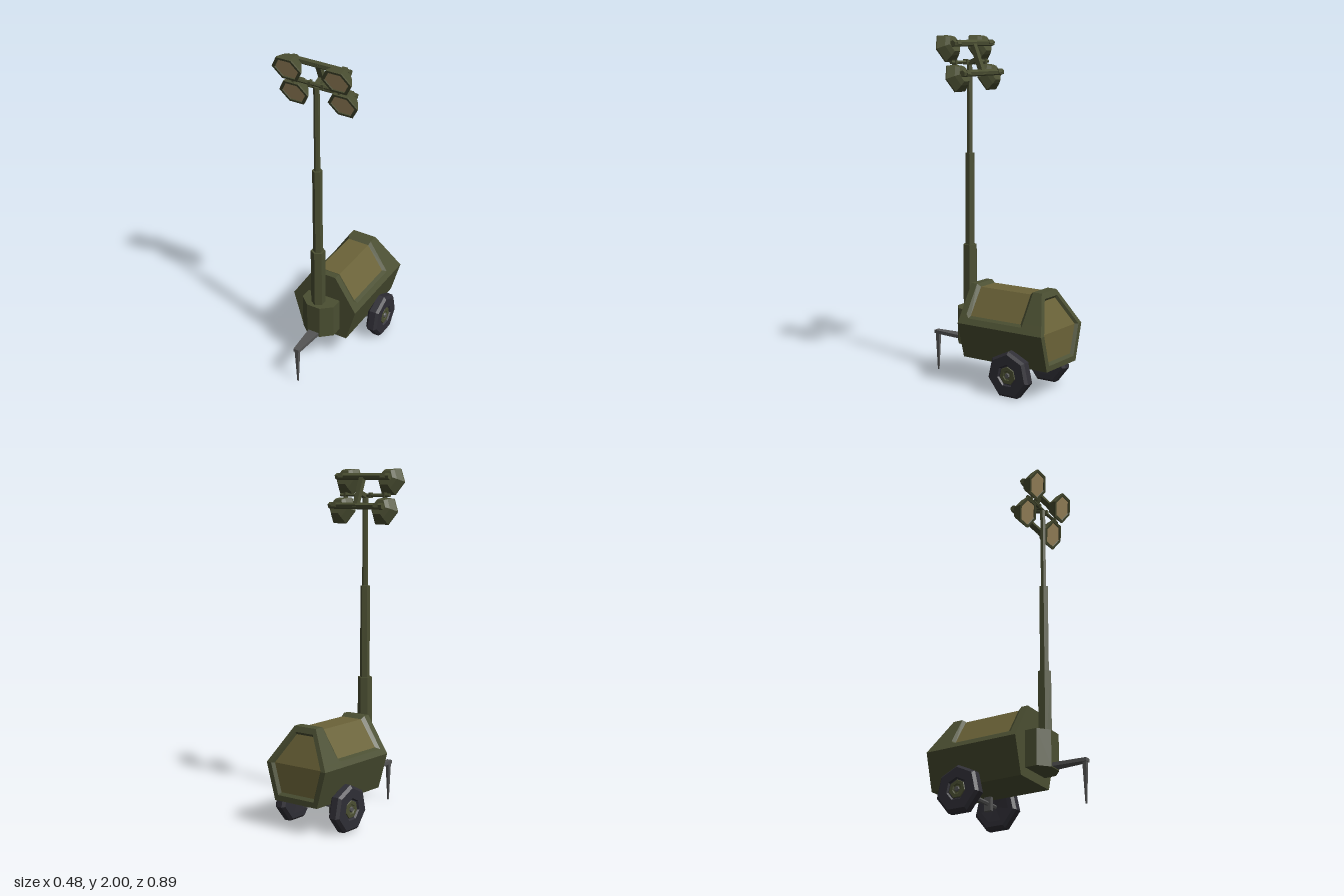
import * as THREE from 'three';

const mat = (color, extra = {}) => new THREE.MeshStandardMaterial({ color, flatShading: true, ...extra });
const OLIVE = mat(0x4b4f32), PANEL = mat(0x6b6338), LENS = mat(0xb39b6c);
const TYRE = mat(0x2f2e35), METAL = mat(0x555555);

function add(parent, name, geometry, material, x = 0, y = 0, z = 0) {
  const mesh = new THREE.Mesh(geometry, material);
  mesh.name = name;
  mesh.position.set(x, y, z);
  parent.add(mesh);
  return mesh;
}

// Collects loose triangles into one geometry
function faceList() {
  const p = [];
  const tri = (...v) => v.forEach(q => p.push(...q));
  return {
    tri,
    quad(a, b, c, d) { tri(a, b, c); tri(a, c, d); },
    build() {
      const g = new THREE.BufferGeometry();
      g.setAttribute('position', new THREE.Float32BufferAttribute(p, 3));
      g.computeVertexNormals();
      return g;
    },
  };
}

// Hexagonal housing with a sunken hood panel and a sunken rear panel
function makeBody() {
  const group = new THREE.Group();
  group.name = 'body';
  const mirror = half => [...half, ...half.map(([x, y]) => [-x, y]).reverse()];
  const full = mirror([[-0.15, 0.165], [-0.21, 0.375], [-0.19, 0.406], [-0.177, 0.426], [-0.075, 0.585]]);
  const sunk = mirror([[-0.15, 0.165], [-0.21, 0.375], [-0.19, 0.406], [-0.168, 0.417], [-0.068, 0.569]]);
  const at = (profile, z) => profile.map(([x, y]) => [x, y, z]);
  const rear = (scale, push) => full.map(([x, y]) => {
    const v = 0.375 + (y - 0.375) * scale;
    return [x * scale, v, -0.445 + push + Math.max(0, v - 0.375) * 0.405];
  });
  const sections = [at(full, 0.125), at(full, 0.085), at(sunk, 0.062), at(sunk, -0.282),
    at(full, -0.302), rear(1, 0), rear(0.85, 0), rear(0.78, 0.017)];
  const shell = faceList(), panels = faceList();
  for (let s = 0; s < sections.length - 1; s++) {
    const a = sections[s], b = sections[s + 1];
    a.forEach((p, i) => {
      const j = (i + 1) % a.length;
      const list = s === 2 && i >= 3 && i <= 5 ? panels : shell;
      list.quad(p, a[j], b[j], b[i]);
    });
  }
  const first = sections[0], last = sections[sections.length - 1];
  first.forEach((p, i) => {
    const j = (i + 1) % first.length;
    shell.tri([0, 0.375, 0.125], first[j], p);
    panels.tri([0, 0.375, -0.428], last[i], last[j]);
  });
  add(group, 'housing', shell.build(), OLIVE);
  add(group, 'hoodAndRearPanels', panels.build(), PANEL);
  return group;
}

// Seven-sided tyre with a stepped hub, outer side towards +x
function makeWheel(side) {
  const wheel = new THREE.Group();
  wheel.name = side > 0 ? 'leftWheel' : 'rightWheel';
  const turned = pts => new THREE.LatheGeometry(pts.map(([r, h]) => new THREE.Vector2(r, h)), 7).rotateZ(-Math.PI / 2)
    .rotateX(-Math.PI / 2);
  add(wheel, 'tyre', turned([[0, -0.03], [0.09, -0.036], [0.122, -0.036], [0.138, -0.02], [0.138, 0.02],
    [0.122, 0.036], [0.065, 0.036], [0.058, 0.026], [0, 0.026]]), TYRE);
  add(wheel, 'hub', turned([[0.056, 0.02], [0.05, 0.031], [0.03, 0.031], [0.024, 0.027], [0, 0.027]]), OLIVE);
  add(wheel, 'hubCap', turned([[0.017, 0.026], [0.013, 0.036], [0, 0.036]]), METAL);
  wheel.position.set(side * 0.194, 0.127, -0.23);
  if (side < 0) wheel.rotation.y = Math.PI;
  // keep one corner of the tyre pointing straight up
  wheel.updateMatrix();
  return wheel;
}

// Hexagonal lamp with a raised rim and a recessed lens
function makeLamp(x, y) {
  const lamp = new THREE.Group();
  lamp.name = 'lamp';
  const profile = [[0, -0.072], [0.048, -0.072], [0.066, -0.05], [0.09, -0.008], [0.09, 0], [0.073, 0], [0.07, -0.006]];
  const shell = new THREE.LatheGeometry(profile.map(([r, h]) => new THREE.Vector2(r, h)), 6);
  add(lamp, 'lampShell', shell.rotateX(Math.PI / 2).rotateZ(Math.PI / 6), OLIVE);
  const lens = add(lamp, 'lens', new THREE.CircleGeometry(0.072, 6), LENS, 0, 0, -0.005);
  // align shell corners with the lens corners on the x axis
  lens.rotation.z = 0;
  add(lamp, 'lampBracket', new THREE.BoxGeometry(0.032, 0.026, 0.05), OLIVE, 0, 0, -0.08);
  lamp.position.set(x, y, 0.085);
  return lamp;
}

// Tilted frame carrying four lamps
function makeLightFrame() {
  const frame = new THREE.Group();
  frame.name = 'lightFrame';
  for (const y of [-0.089, 0.089]) {
    add(frame, 'lampBar', new THREE.CylinderGeometry(0.019, 0.019, 0.38, 6).rotateZ(Math.PI / 2), OLIVE, 0, y, 0);
    for (const x of [-0.15, 0.15]) frame.add(makeLamp(x, y));
  }
  add(frame, 'frameStrut', new THREE.BoxGeometry(0.03, 0.2, 0.028), OLIVE);
  frame.position.set(0, 1.873, 0.132);
  frame.rotation.x = 0.38;
  return frame;
}

function makeMast() {
  const mast = new THREE.Group();
  mast.name = 'mast';
  // telescoping hexagonal tubes
  for (const [r, y0, y1] of [[0.042, 0.3, 0.795], [0.028, 0.78, 1.33], [0.017, 1.32, 1.84]]) {
    add(mast, 'mastSection', new THREE.CylinderGeometry(r, r, y1 - y0, 6), OLIVE, 0, (y0 + y1) / 2, 0.19);
  }
  // crossbar and link between mast and light frame
  add(mast, 'mastCrossbar', new THREE.CylinderGeometry(0.011, 0.011, 0.35, 6).rotateZ(Math.PI / 2), OLIVE, 0, 1.85, 0.188);
  for (const x of [-0.14, -0.04, 0.04, 0.14]) {
    add(mast, 'crossbarCollar', new THREE.BoxGeometry(0.014, 0.03, 0.028), OLIVE, x, 1.85, 0.188);
  }
  add(mast, 'frameLink', new THREE.BoxGeometry(0.03, 0.025, 0.07), OLIVE, 0, 1.855, 0.16).rotation.x = 0.38;
  return mast;
}

// Angled pedestal at the foot of the mast
function makePedestal() {
  const plan = [[-0.105, 0.12], [-0.105, 0.195], [-0.042, 0.25], [0.042, 0.25], [0.105, 0.195], [0.105, 0.12]];
  const shape = new THREE.Shape(plan.map(([x, z]) => new THREE.Vector2(x, -z)));
  const g = new THREE.ExtrudeGeometry(shape, { depth: 0.21, bevelEnabled: false });
  return g.rotateX(-Math.PI / 2);
}

export function createModel() {
  const model = new THREE.Group();
  model.name = 'lightTowerTrailer';
  model.add(makeBody());
  add(model, 'mastPedestal', makePedestal(), OLIVE, 0, 0.22, 0);
  model.add(makeMast(), makeLightFrame());

  // running gear
  for (const side of [-1, 1]) {
    model.add(makeWheel(side));
    add(model, 'axleBracket', new THREE.BoxGeometry(0.026, 0.085, 0.045), METAL, side * 0.095, 0.128, -0.23);
  }
  add(model, 'axle', new THREE.CylinderGeometry(0.013, 0.013, 0.36, 6).rotateZ(Math.PI / 2), METAL, 0, 0.127, -0.23);

  // tapered drawbar and support leg
  const bar = new THREE.Shape([[-0.036, -0.23], [0.036, -0.23], [0.018, -0.445], [-0.018, -0.445]]
    .map(([x, y]) => new THREE.Vector2(x, y)));
  const barGeo = new THREE.ExtrudeGeometry(bar, { depth: 0.02, bevelEnabled: false }).rotateX(-Math.PI / 2);
  add(model, 'drawbar', barGeo, METAL, 0, 0.226, 0);
  const leg = new THREE.CylinderGeometry(0.017, 0.005, 0.235, 4).rotateY(Math.PI / 4);
  add(model, 'supportLeg', leg, METAL, 0, 0.1175, 0.43);
  return model;
}
